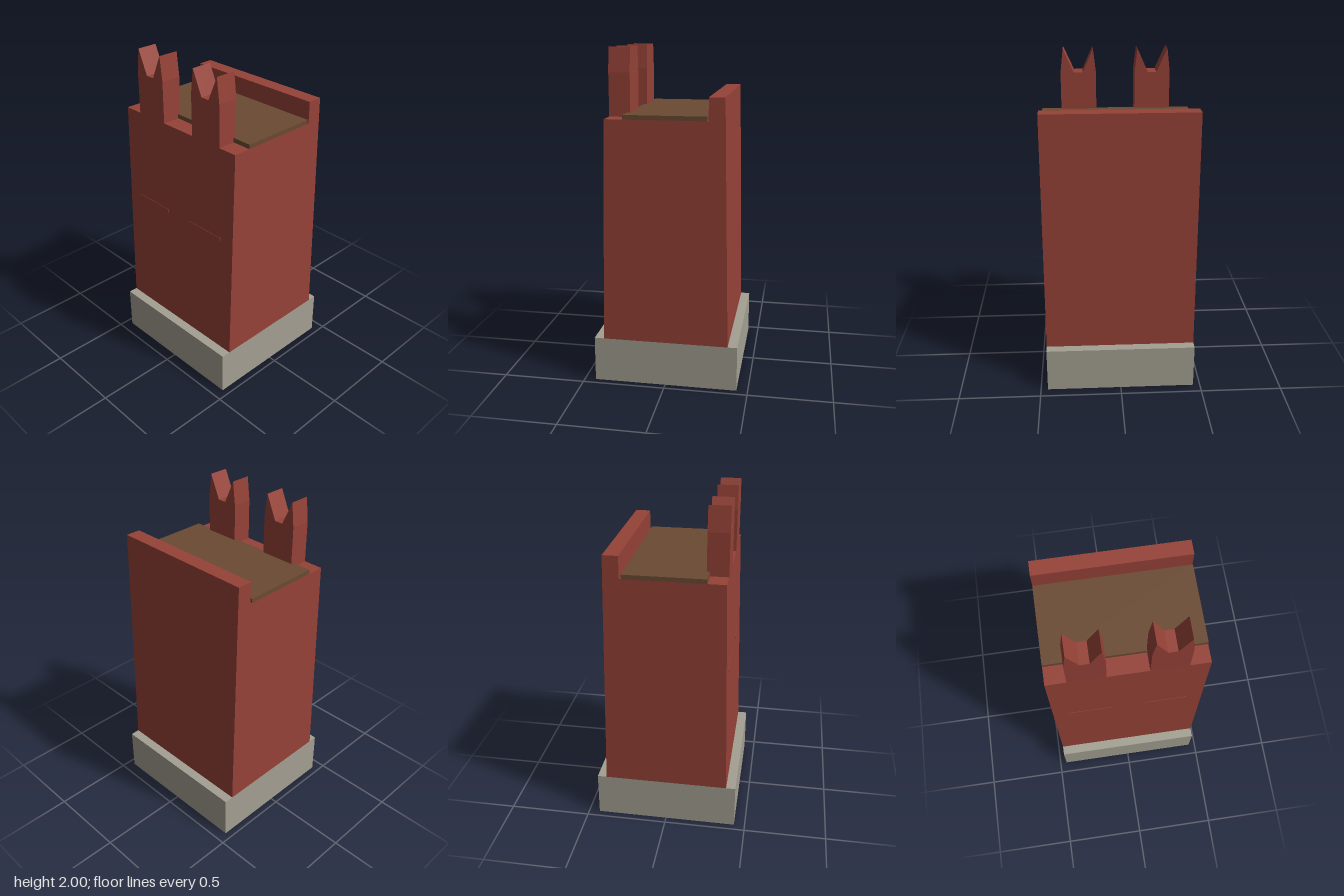
import * as THREE from 'three';

const HALF = 0.457;   // half width of the wall segment
const BASE_TOP = 0.275;
const WALK = 1.605;   // height of the wall top

const brick = new THREE.MeshStandardMaterial({ name: 'redBrick', color: 0x964237 });
const stone = new THREE.MeshStandardMaterial({ name: 'greyStone', color: 0xa4a093 });
const wood = new THREE.MeshStandardMaterial({ name: 'brownPlanks', color: 0x6b4a33 });

function add(parent, name, geometry, material, x = 0, y = 0, z = 0) {
  const mesh = new THREE.Mesh(geometry, material);
  mesh.name = name;
  mesh.position.set(x, y, z);
  parent.add(mesh);
  return mesh;
}

function extrude(points, depth) {
  const shape = new THREE.Shape(points.map(([a, b]) => new THREE.Vector2(a, b)));
  return new THREE.ExtrudeGeometry(shape, { depth, bevelEnabled: false });
}

export function createModel() {
  const model = new THREE.Group();
  model.name = 'fortressWall';

  // Stone footing
  add(model, 'footing', new THREE.BoxGeometry(HALF * 2, BASE_TOP, 0.866), stone, 0, BASE_TOP / 2, 0);

  // Tapered wall with its rear parapet: (z, y) section swept along x
  const section = [
    [0.376, BASE_TOP], [0.343, WALK], [-0.25, WALK],
    [-0.25, 1.737], [-0.341, 1.737], [-0.376, BASE_TOP],
  ];
  const wall = extrude(section, HALF * 2);
  wall.rotateY(-Math.PI / 2); // shape x becomes z, sweep runs to -x
  wall.translate(HALF, 0, 0);
  add(model, 'wallBody', wall, brick);

  // Plank walkway
  add(model, 'walkway', new THREE.BoxGeometry(HALF * 2, 0.026, 0.476), wood, 0, WALK + 0.013, -0.002);

  // Swallowtail merlons, each with a thin ledge below on the front face
  const merlon = [
    [-0.109, WALK], [0.109, WALK], [0.109, 1.855], [0.092, 2],
    [0.027, 1.855], [-0.027, 1.855], [-0.092, 2], [-0.109, 1.855],
  ];
  for (const side of [-1, 1]) {
    const label = side > 0 ? 'left' : 'right';
    add(model, label + 'Merlon', extrude(merlon, 0.125), brick, side * 0.228, 0, 0.218);
    add(model, label + 'Ledge', new THREE.BoxGeometry(0.27, 0.02, 0.008), brick, side * 0.228, 1.04, 0.355);
  }
  return model;
}
